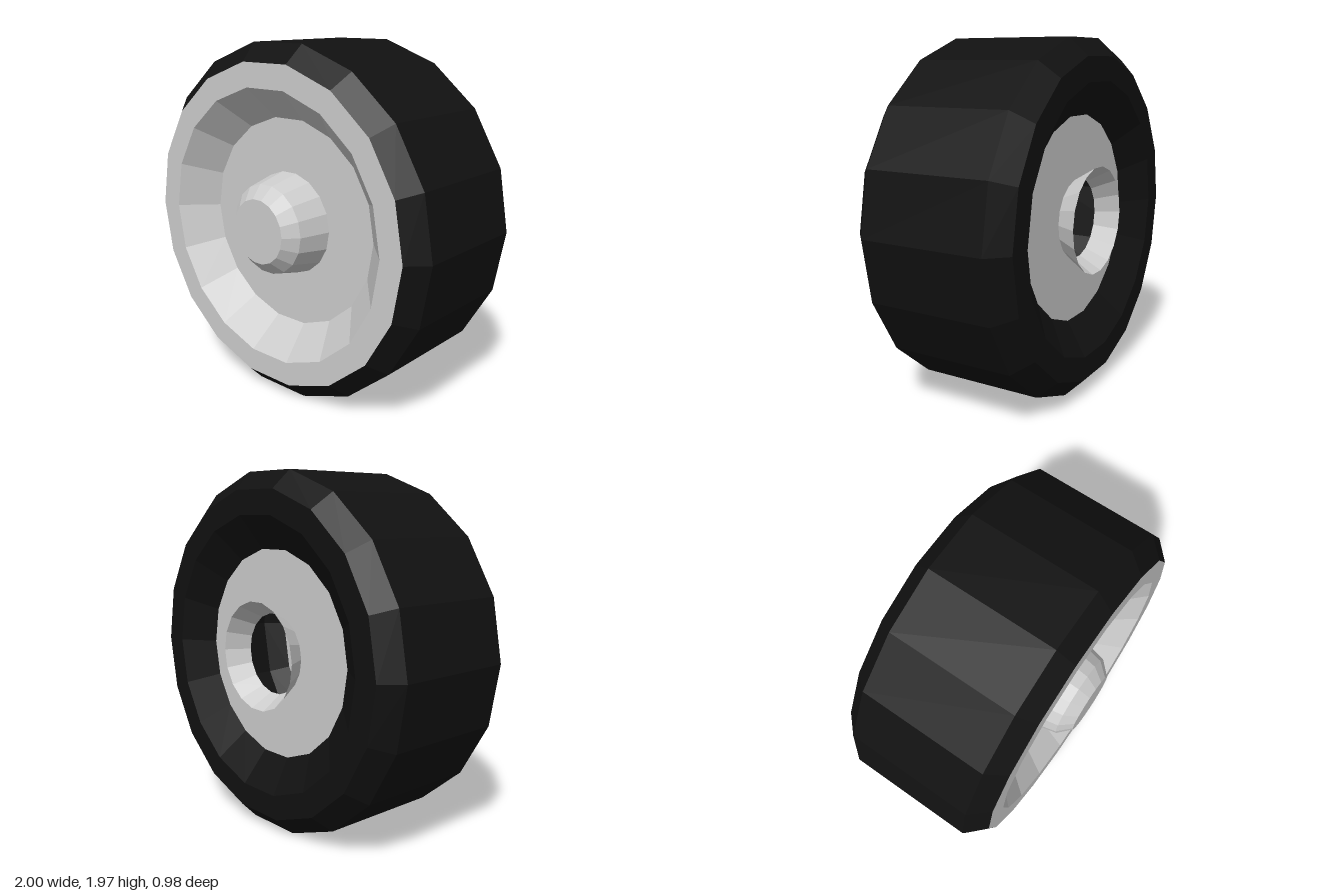
import * as THREE from 'three';

const SIDES = 18;

// Revolve [radius, z] points around the wheel axle (z), with a corner on +x
function revolve(name, profile, material) {
  const points = profile.map(([r, z]) => new THREE.Vector2(r, z));
  const geometry = new THREE.LatheGeometry(points, SIDES, Math.PI / 2);
  geometry.rotateX(Math.PI / 2);
  const mesh = new THREE.Mesh(geometry, material);
  mesh.name = name;
  return mesh;
}

export function createModel() {
  const rubber = new THREE.MeshStandardMaterial({ color: 0x111111, flatShading: true, side: THREE.DoubleSide });
  const metal = new THREE.MeshStandardMaterial({ color: 0xcccccc, flatShading: true, side: THREE.DoubleSide });

  const wheel = new THREE.Group();
  wheel.name = 'wheel';

  // Tyre: sunken back wall, chamfered shoulders and flat tread
  wheel.add(revolve('tyre', [
    [0.58, -0.365], [0.765, -0.49], [0.9, -0.49], [1, -0.39], [1, 0.32], [0.9, 0.42],
  ], rubber));

  // Front rim: flat lip and dished plate
  wheel.add(revolve('frontRim', [
    [0.9, 0.42], [0.765, 0.42], [0.59, 0.24], [0.29, 0.24],
  ], metal));

  // Hub cap: tapered boss with a bevelled end
  wheel.add(revolve('hubCap', [
    [0.29, 0.24], [0.25, 0.42], [0.18, 0.49], [0, 0.49],
  ], metal));

  // Back plate with a flared axle socket
  wheel.add(revolve('backPlate', [[0.225, -0.365], [0.58, -0.365]], metal));
  wheel.add(revolve('axleSocket', [[0.3, -0.49], [0.225, -0.365]], metal));

  // Stand the wheel on the ground on a flat facet
  wheel.position.y = Math.cos(Math.PI / SIDES);

  const model = new THREE.Group();
  model.add(wheel);
  return model;
}
